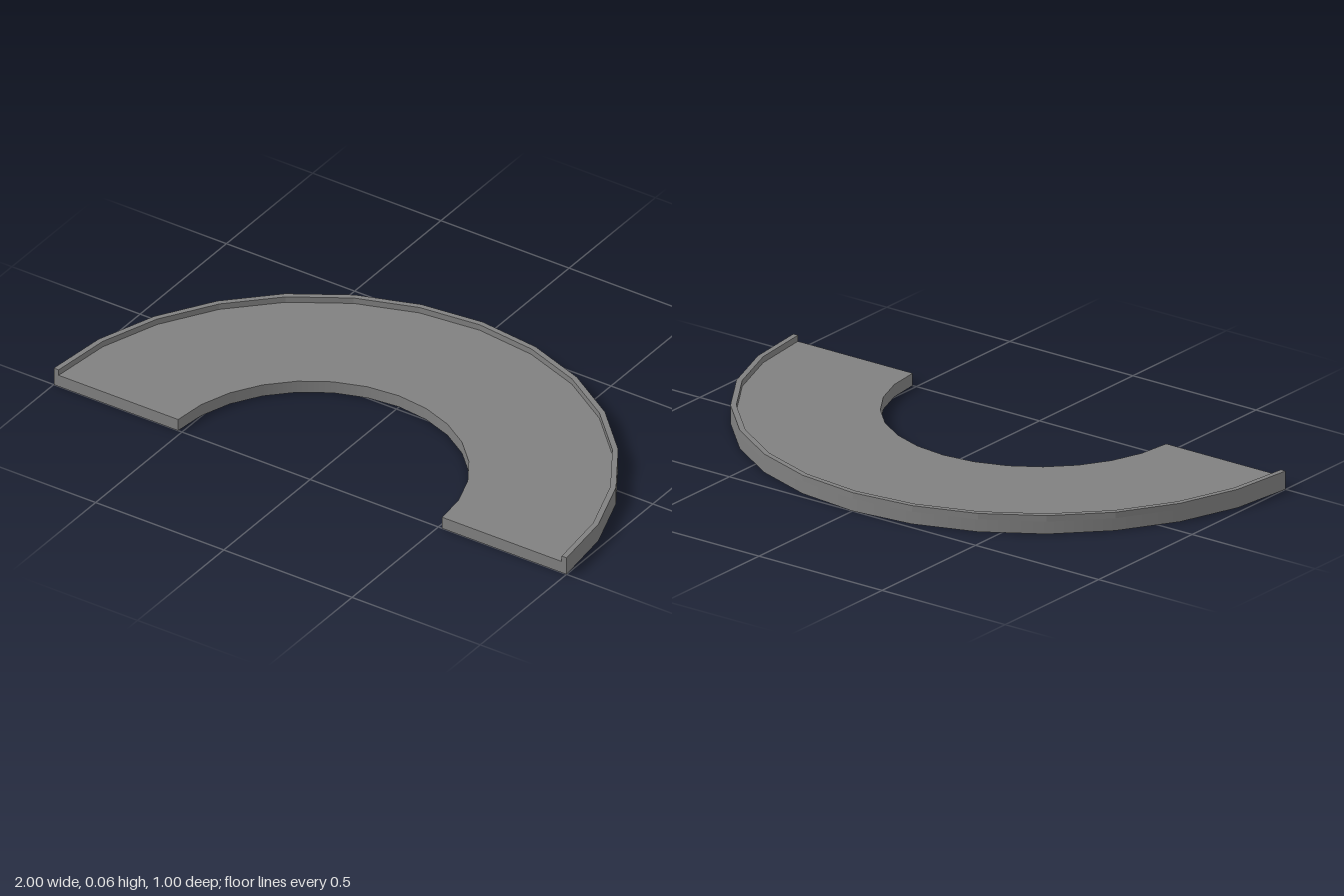
import * as THREE from 'three';
import { mergeGeometries } from 'three/addons/utils/BufferGeometryUtils.js';

const INNER = 0.515, RIM_IN = 0.981, OUTER = 1;
const DECK_Y = 0.043, RIM_Y = 0.064;
const SEGMENTS = 14;

// Half-round strip swept from one profile edge, so edges between strips stay sharp
function strip(r0, y0, r1, y1) {
  const edge = [new THREE.Vector2(r0, y0), new THREE.Vector2(r1, y1)];
  return new THREE.LatheGeometry(edge, SEGMENTS, Math.PI / 2, Math.PI);
}

// Flat end faces on both cut ends, facing the front
function ends(r0, r1, y0, y1) {
  return [-1, 1].map((side) =>
    new THREE.PlaneGeometry(r1 - r0, y1 - y0)
      .translate(side * (r0 + r1) / 2, (y0 + y1) / 2, 0));
}

export function createModel() {
  const group = new THREE.Group();
  const grey = new THREE.MeshStandardMaterial({ color: 0x808080 });
  grey.name = 'grey';

  // Thick half-ring slab with smooth curved walls
  const slab = mergeGeometries([
    strip(INNER, 0, OUTER, 0),
    strip(OUTER, 0, OUTER, DECK_Y),
    strip(RIM_IN, DECK_Y, INNER, DECK_Y),
    strip(INNER, DECK_Y, INNER, 0),
    ...ends(INNER, OUTER, 0, DECK_Y),
  ]);

  // Thin raised lip along the outer edge, faceted
  const lip = mergeGeometries([
    strip(OUTER, DECK_Y, OUTER, RIM_Y),
    strip(OUTER, RIM_Y, RIM_IN, RIM_Y),
    strip(RIM_IN, RIM_Y, RIM_IN, DECK_Y),
    ...ends(RIM_IN, OUTER, DECK_Y, RIM_Y),
  ]).toNonIndexed();
  lip.computeVertexNormals();

  for (const [name, geometry] of [['slab', slab], ['outerLip', lip]]) {
    const mesh = new THREE.Mesh(geometry, grey);
    mesh.name = name;
    mesh.position.z = 0.5;
    group.add(mesh);
  }
  return group;
}
